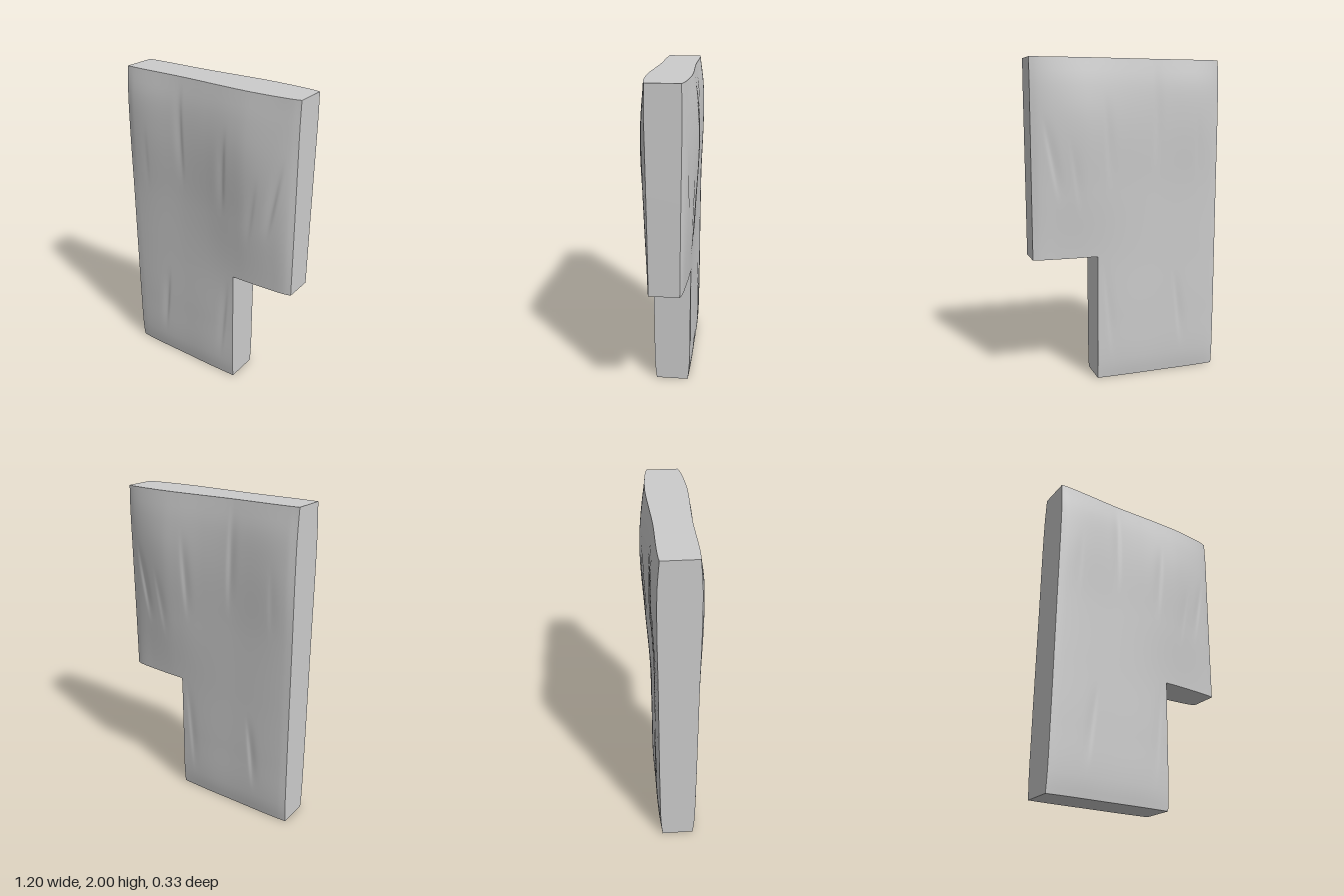
import * as THREE from 'three';

// Half thickness of the slab: one row per height, one column per x station
const XS = [-0.6, -0.55, -0.17, 0, 0.2, 0.3, 0.45, 0.56, 0.6];
const YS = [0, 0.08, 0.4, 0.8, 1.2, 1.65, 1.85, 2];
const HALF = [
  [0.098, 0.102, 0.106, 0.107, 0.103, 0.1, 0.094, 0.088, 0.082],
  [0.106, 0.112, 0.117, 0.118, 0.111, 0.106, 0.1, 0.094, 0.086],
  [0.112, 0.119, 0.123, 0.123, 0.115, 0.11, 0.104, 0.097, 0.088],
  [0.114, 0.12, 0.122, 0.122, 0.12, 0.118, 0.11, 0.1, 0.09],
  [0.115, 0.122, 0.126, 0.132, 0.143, 0.144, 0.13, 0.11, 0.093],
  [0.118, 0.132, 0.137, 0.147, 0.163, 0.165, 0.145, 0.116, 0.098],
  [0.114, 0.126, 0.129, 0.137, 0.149, 0.15, 0.136, 0.114, 0.1],
  [0.102, 0.106, 0.108, 0.115, 0.124, 0.125, 0.118, 0.106, 0.096],
];
// Wood-grain splits: x, y of centre, slant, half length, depth
const SPLITS = [
  [0.14, 1.5, 0.04, 0.3, 0.006],
  [0.48, 1.4, 0.18, 0.28, 0.006],
  [0.34, 1.3, 0.14, 0.25, 0.003],
  [-0.18, 1.65, -0.03, 0.35, 0.006],
  [-0.46, 1.45, 0, 0.25, 0.002],
  [-0.34, 0.42, 0.1, 0.28, 0.006],
  [0.13, 0.45, 0.08, 0.35, 0.004],
];
const DX = 0.01, DY = 0.04;

// Smooth surface through the stations, cut by the splits
const rowAt = new THREE.CubicInterpolant(YS, HALF.flat(), XS.length);
function halfThickness(x, y) {
  const row = Array.from(rowAt.evaluate(y));
  let h = new THREE.CubicInterpolant(XS, row, 1).evaluate(x)[0];
  for (const [cx, cy, slant, len, depth] of SPLITS) {
    const t = (y - cy) / len;
    if (Math.abs(t) >= 1) continue;
    const d = x - cx - slant * (y - cy);
    const width = d < 0 ? 0.035 : 0.012;
    h -= depth * (1 - t * t) ** 2 * Math.exp(-((d / width) ** 2));
  }
  return h;
}

function makeMesh(name, positions, index, material) {
  const geometry = new THREE.BufferGeometry();
  geometry.setAttribute('position', new THREE.Float32BufferAttribute(positions, 3));
  geometry.setIndex(index);
  geometry.computeVertexNormals();
  const mesh = new THREE.Mesh(geometry, material);
  mesh.name = name;
  return mesh;
}

// Broad face, with the lower corner notch left out; side is +1 front, -1 back
function makeFace(name, side, material) {
  const nx = Math.round(1.2 / DX), ny = Math.round(2 / DY);
  const positions = [], index = [];
  for (let j = 0; j <= ny; j++) {
    for (let i = 0; i <= nx; i++) {
      const x = -0.6 + i * DX, y = j * DY;
      positions.push(x, y, side * halfThickness(x, y));
      if (i === nx || j === ny) continue;
      if (x > 0.195 && y < 0.795) continue;
      const a = j * (nx + 1) + i, b = a + 1, c = b + nx + 1, d = a + nx + 1;
      if (side > 0) index.push(a, b, c, a, c, d);
      else index.push(a, c, b, a, d, c);
    }
  }
  return makeMesh(name, positions, index, material);
}

// Flat wall along one outline edge, following the thickness of the faces
function makeWall(name, [x0, y0], [x1, y1], material) {
  const step = x0 === x1 ? DY : DX;
  const n = Math.round(Math.hypot(x1 - x0, y1 - y0) / step);
  const positions = [], index = [];
  for (let i = 0; i <= n; i++) {
    const x = x0 + (x1 - x0) * i / n, y = y0 + (y1 - y0) * i / n;
    const h = halfThickness(x, y);
    positions.push(x, y, -h, x, y, h);
    if (i < n) {
      const a = 2 * i;
      index.push(a, a + 2, a + 3, a, a + 3, a + 1);
    }
  }
  return makeMesh(name, positions, index, material);
}

export function createModel() {
  const group = new THREE.Group();
  group.name = 'notchedSlab';
  const material = new THREE.MeshStandardMaterial({ color: 0xcccccc });

  group.add(makeFace('frontFace', 1, material), makeFace('backFace', -1, material));

  // Outline, counter-clockwise seen from the front
  const outline = [[-0.6, 0], [0.2, 0], [0.2, 0.8], [0.6, 0.8], [0.6, 2], [-0.6, 2]];
  const names = ['bottomEdge', 'notchSide', 'notchUnderside', 'leftEdge', 'topEdge', 'rightEdge'];
  outline.forEach((p, i) => {
    group.add(makeWall(names[i], p, outline[(i + 1) % outline.length], material));
  });
  return group;
}
